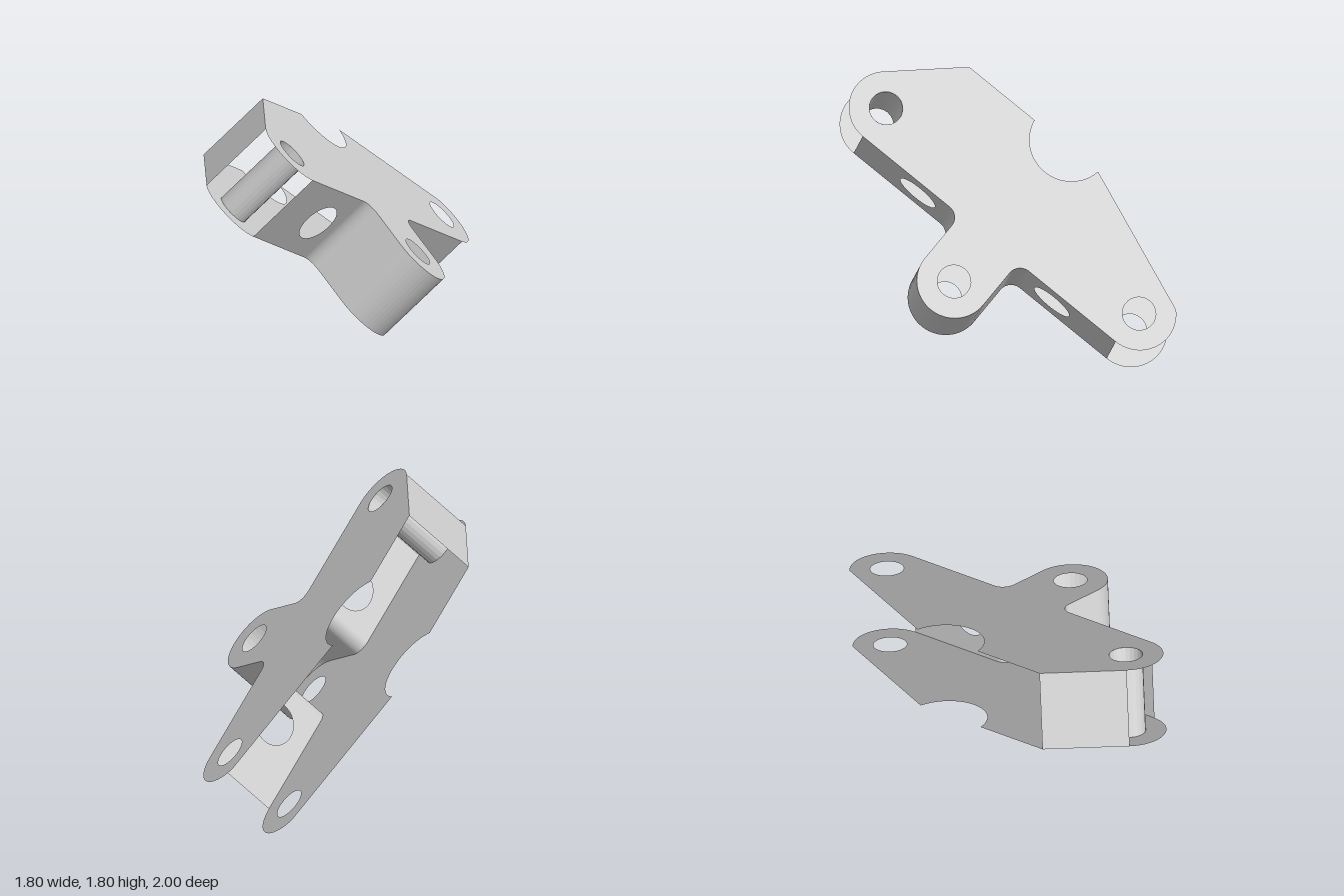
import * as THREE from 'three';

const HALF = 0.274;   // half the gap between the two side plates
const ARM = 1.066;    // distance of the arm pivots from the middle
const R = 0.245;      // radius of the rounded lobes
const HOLE = 0.11;    // pivot hole radius
const FILLET = 0.09;
const LEG = -0.615;   // height of the lower pivot
const SLANT = 0.806;  // angle at which the slanted end meets the lobe

const material = new THREE.MeshStandardMaterial({
  color: 0xcccccc, side: THREE.DoubleSide, flatShading: true,
});

function circle(x, y, r) {
  return new THREE.Path().absarc(x, y, r, 0, Math.PI * 2, true);
}

// Fillet, round leg and second fillet, shared by the plates and the web
function addLeg(path) {
  const c = R + FILLET;
  path.absarc(c, -c, FILLET, Math.PI / 2, Math.PI, false);
  path.absarc(0, LEG, R, 0, -Math.PI, true);
  path.absarc(-c, -c, FILLET, 0, Math.PI / 2, false);
  return path;
}

// Flat outline of a side plate with its three pivot holes
function plateGeometry() {
  const s = new THREE.Shape();
  s.moveTo(-0.82, 0.566);
  s.absarc(0, 0.61, 0.27, Math.PI + 0.164, Math.PI * 2 - 0.164, false);
  s.lineTo(0.82, 0.566);
  s.absarc(ARM, 0, R, SLANT, -Math.PI / 2, true);
  addLeg(s);
  s.absarc(-ARM, 0, R, -Math.PI / 2, -Math.PI - SLANT, true);
  s.closePath();
  s.holes.push(circle(ARM, 0, HOLE), circle(-ARM, 0, HOLE), circle(0, LEG, HOLE));
  return new THREE.ShapeGeometry(s, 20);
}

// Sheet that follows a path and spans the gap between the plates
function sheetGeometry(points) {
  const pos = [], index = [];
  points.forEach((p, i) => {
    pos.push(p.x, p.y, -HALF, p.x, p.y, HALF);
    if (i) {
      const k = i * 2;
      index.push(k - 2, k - 1, k, k, k - 1, k + 1);
    }
  });
  const g = new THREE.BufferGeometry();
  g.setAttribute('position', new THREE.Float32BufferAttribute(pos, 3));
  g.setIndex(index);
  g.computeVertexNormals();
  return g;
}

// Flat web under one arm, with a round opening
function webGeometry(side) {
  const a = side * (R + FILLET), b = side * ARM;
  const s = new THREE.Shape([
    new THREE.Vector2(a, -HALF), new THREE.Vector2(b, -HALF),
    new THREE.Vector2(b, HALF), new THREE.Vector2(a, HALF),
  ]);
  s.holes.push(circle(side * 0.565, 0, 0.145));
  return new THREE.ShapeGeometry(s, 20).rotateX(Math.PI / 2).translate(0, -R, 0);
}

export function createModel() {
  const model = new THREE.Group();
  model.name = 'bracket';
  const body = new THREE.Group();
  body.name = 'bracketBody';
  model.add(body);

  const add = (name, geometry) => {
    const mesh = new THREE.Mesh(geometry, material);
    mesh.name = name;
    body.add(mesh);
    return mesh;
  };

  // Side plates
  add('lowerPlate', plateGeometry()).position.z = HALF;
  add('upperPlate', plateGeometry()).position.z = -HALF;

  // Web along the lower edge
  add('frontArmWeb', webGeometry(1));
  add('backArmWeb', webGeometry(-1));
  add('legWeb', sheetGeometry(addLeg(new THREE.Path()).getPoints(12)));

  // Slanted closing wall on the front arm only
  add('endWall', sheetGeometry([
    new THREE.Vector2(0.82, 0.566),
    new THREE.Vector2(ARM + R * Math.cos(SLANT), R * Math.sin(SLANT)),
  ]));

  // Pivot tube through the front arm
  const tube = new THREE.CylinderGeometry(HOLE, HOLE, HALF * 2, 24, 1, true);
  add('pivotTube', tube.rotateX(Math.PI / 2)).position.x = ARM;

  // Tilt the bracket: arms rise to the front, plates lean at 45 degrees
  const h = Math.SQRT1_2;
  body.quaternion.setFromRotationMatrix(new THREE.Matrix4().makeBasis(
    new THREE.Vector3(-0.5, 0.5, h),
    new THREE.Vector3(-0.5, 0.5, -h),
    new THREE.Vector3(-h, -h, 0),
  ));
  body.position.y = 0.901;
  return model;
}
